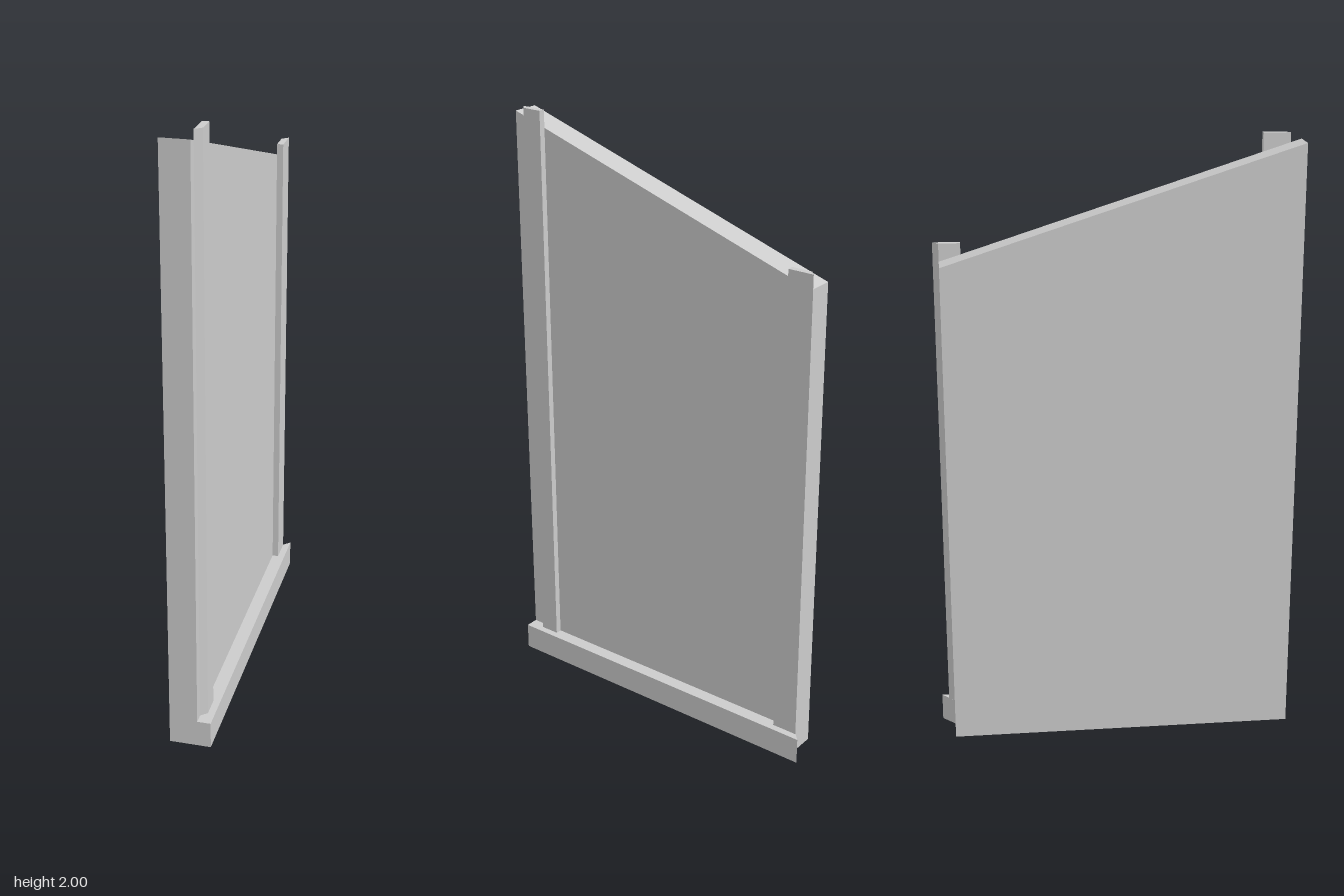
import * as THREE from 'three';

const material = new THREE.MeshStandardMaterial({ color: 0xcccccc, flatShading: true });

// Upright prism from an [x, z] plan outline, between two heights
function prism(name, plan, bottom, top) {
  const shape = new THREE.Shape(plan.map(([x, z]) => new THREE.Vector2(x, -z)));
  const geometry = new THREE.ExtrudeGeometry(shape, { depth: top - bottom, bevelEnabled: false });
  geometry.rotateX(-Math.PI / 2).translate(0, bottom, 0);
  const mesh = new THREE.Mesh(geometry, material);
  mesh.name = name;
  return mesh;
}

export function createModel() {
  const group = new THREE.Group();
  group.name = 'slopedPanel';

  const outer = -0.068, face = 0.023, battenFace = 0.044, railFace = 0.067;
  const front = 0.588, back = -0.546, railHeight = 0.09;

  // Main panel with a sloping top, drawn in side profile and extruded across x
  const side = new THREE.Shape([[-front, 0], [-back, 0], [-back, 1.618], [-front, 1.98]]
    .map(([z, y]) => new THREE.Vector2(z, y)));
  const panelGeometry = new THREE.ExtrudeGeometry(side, { depth: face - outer, bevelEnabled: false });
  panelGeometry.rotateY(Math.PI / 2).translate(outer, 0, 0);
  const panel = new THREE.Mesh(panelGeometry, material);
  panel.name = 'panel';
  group.add(panel);

  // Bottom rail with a mitred back end
  group.add(prism('bottomRail',
    [[face, front], [railFace, front], [railFace, -0.588], [face, back]], 0, railHeight));

  // Upright battens with angled outer edges
  group.add(prism('frontBatten',
    [[face, 0.554], [battenFace, 0.535], [battenFace, 0.468], [face, 0.468]], railHeight, 2));
  group.add(prism('backBatten',
    [[face, -0.478], [battenFace, -0.478], [battenFace, -0.565], [face, back]], railHeight, 1.675));

  return group;
}
